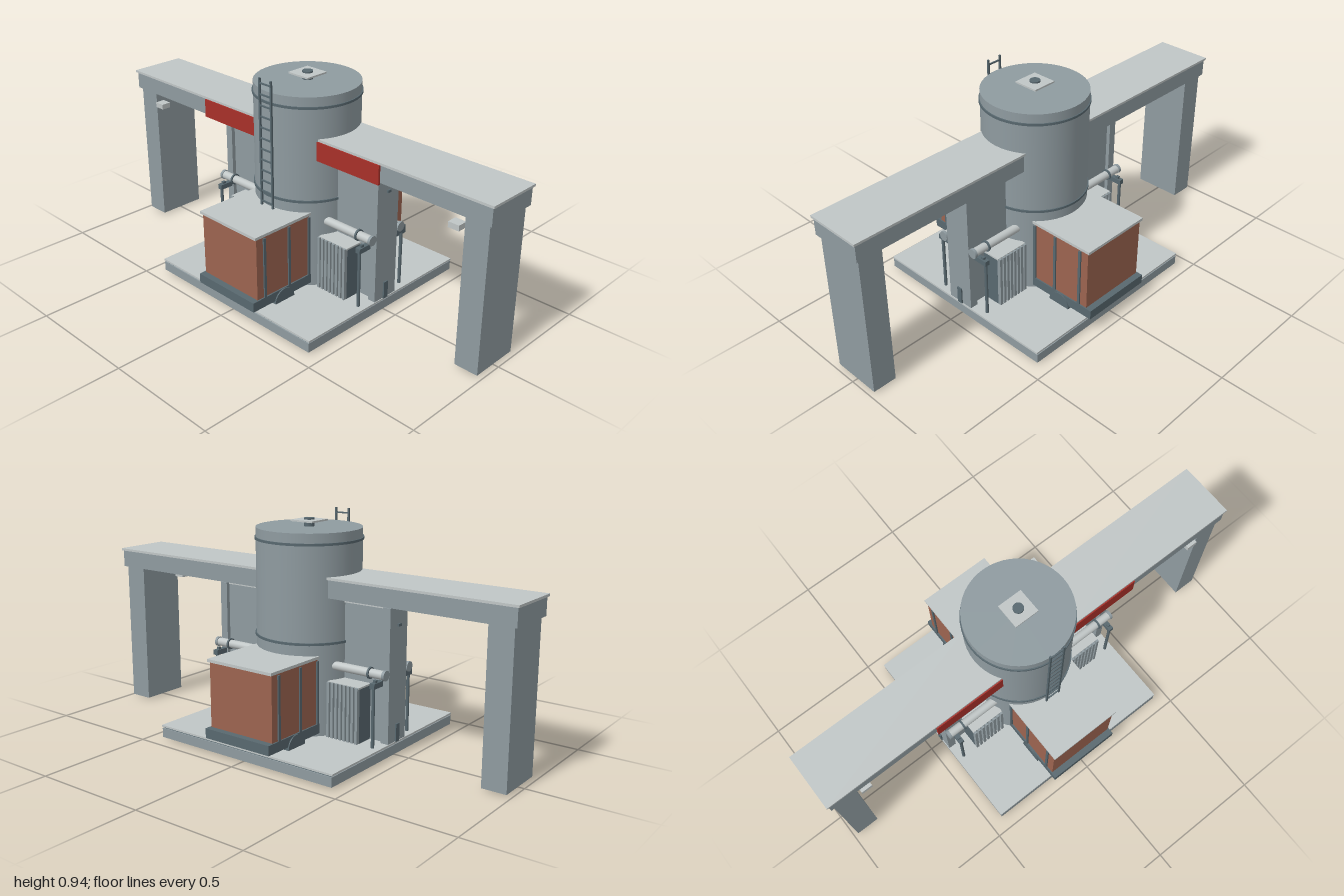
import * as THREE from 'three';

const mat = (name, color) => {
  const m = new THREE.MeshStandardMaterial({ color });
  m.name = name;
  return m;
};

export function createModel() {
  const grey = mat('steel grey', 0x8f9ba0);
  const light = mat('light grey', 0xc0c6c6);
  const dark = mat('dark steel', 0x58686f);
  const rust = mat('rust brown', 0x9c6450);
  const red = mat('sign red', 0xa83029);
  const root = new THREE.Group();
  root.name = 'industrialTankStation';

  const add = (parent, name, geo, material) => {
    const mesh = new THREE.Mesh(geo, material);
    mesh.name = name;
    parent.add(mesh);
    return mesh;
  };
  // Box given by its minimum and maximum on each axis
  const box = (parent, name, material, x0, x1, y0, y1, z0, z1) => {
    const m = add(parent, name, new THREE.BoxGeometry(x1 - x0, y1 - y0, z1 - z0), material);
    m.position.set((x0 + x1) / 2, (y0 + y1) / 2, (z0 + z1) / 2);
    return m;
  };
  // Cylinder along y, or along x when lying
  const cyl = (parent, name, material, r, len, x, y, z, lying = false, seg = 24) => {
    const m = add(parent, name, new THREE.CylinderGeometry(r, r, len, seg), material);
    m.position.set(x, y, z);
    if (lying) m.rotation.z = Math.PI / 2;
    return m;
  };
  const group = (name) => {
    const g = new THREE.Group();
    g.name = name;
    root.add(g);
    return g;
  };

  // Base slab with a light deck plate
  const base = group('base');
  box(base, 'slab', grey, -0.44, 0.44, 0.008, 0.048, -0.44, 0.44);
  box(base, 'deckSeam', dark, -0.435, 0.435, 0.047, 0.054, -0.435, 0.435);
  box(base, 'deckPlate', light, -0.443, 0.443, 0.053, 0.061, -0.44, 0.44);

  // Central tank with hoops and a top hatch
  const tank = group('tank');
  cyl(tank, 'tankBody', grey, 0.22, 0.84, 0, 0.47, 0, false, 48);
  for (const y of [0.447, 0.846]) cyl(tank, 'tankHoop', dark, 0.225, 0.01, 0, y, 0, false, 48);
  cyl(tank, 'hatchNeck', dark, 0.022, 0.035, 0, 0.907, 0);
  box(tank, 'hatchPlate', light, -0.054, 0.054, 0.911, 0.918, -0.054, 0.054);

  // Ladder on the front of the tank
  const ladder = group('ladder');
  for (const s of [-1, 1]) {
    box(ladder, 'ladderRail', dark, s * 0.032 - 0.004, s * 0.032 + 0.004, 0.002, 0.943, 0.228, 0.236);
  }
  for (let i = 0; i < 21; i++) {
    const y = 0.004 + i * 0.0459;
    box(ladder, 'ladderRung', dark, -0.032, 0.032, y - 0.003, y + 0.003, 0.229, 0.235);
  }

  for (const s of [-1, 1]) {
    // Side helper: x values are mirrored by s
    const sideBox = (g, name, m, x0, x1, ...rest) =>
      s > 0 ? box(g, name, m, x0, x1, ...rest) : box(g, name, m, -x1, -x0, ...rest);

    // Overhead beam, outer pillar, sign and lamp
    const gantry = group(s > 0 ? 'leftGantry' : 'rightGantry');
    sideBox(gantry, 'beam', grey, 0.17, 0.993, 0.632, 0.706, -0.119, 0.119);
    sideBox(gantry, 'beamCap', light, 0.17, 1, 0.706, 0.716, -0.125, 0.125);
    sideBox(gantry, 'pillar', grey, 0.877, 0.98, 0.008, 0.633, -0.108, 0.108);
    sideBox(gantry, 'signPanel', red, 0.178, 0.496, 0.625, 0.706, 0.121, 0.13);
    sideBox(gantry, 'lamp', light, 0.815, 0.863, 0.569, 0.592, 0.08, 0.123);

    // Support wall under the beam
    const wall = group(s > 0 ? 'leftWall' : 'rightWall');
    sideBox(wall, 'wallPanel', grey, 0.18, 0.41, 0.06, 0.608, -0.045, 0.045);
    sideBox(wall, 'wallCap', light, 0.18, 0.412, 0.608, 0.617, -0.048, 0.048);
    sideBox(wall, 'wallSeam', dark, 0.18, 0.408, 0.33, 0.336, -0.047, 0.047);
    sideBox(wall, 'endColumn', grey, 0.405, 0.44, 0.06, 0.615, -0.062, 0.062);
    sideBox(wall, 'columnBracket', dark, 0.439, 0.446, 0.06, 0.135, -0.012, 0.012);
    sideBox(wall, 'columnBolt', dark, 0.439, 0.447, 0.535, 0.546, -0.01, 0.01);

    for (const f of [-1, 1]) {
      const zBox = (g, name, m, x0, x1, y0, y1, z0, z1) =>
        sideBox(g, name, m, x0, x1, y0, y1, Math.min(f * z0, f * z1), Math.max(f * z0, f * z1));

      // Finned radiator
      const rad = group('radiator');
      zBox(rad, 'radiatorCore', dark, 0.192, 0.342, 0.06, 0.288, 0.04, 0.122);
      zBox(rad, 'radiatorTop', light, 0.19, 0.344, 0.288, 0.295, 0.04, 0.128);
      for (let i = 0; i < 8; i++) {
        const x = 0.192 + i * 0.0197;
        zBox(rad, 'radiatorFin', grey, x, x + 0.012, 0.062, 0.294, 0.05, 0.138);
      }

      // Horizontal pipe with flange and its post
      const pipe = group('pipework');
      cyl(pipe, 'pipe', light, 0.018, 0.25, s * 0.315, 0.352, f * 0.085, true);
      cyl(pipe, 'pipeFlange', dark, 0.024, 0.008, s * 0.367, 0.352, f * 0.085, true);
      cyl(pipe, 'pipeEnd', grey, 0.021, 0.012, s * 0.436, 0.352, f * 0.085, true);
      cyl(pipe, 'post', dark, 0.007, 0.26, s * 0.41, 0.19, f * 0.127, false, 12);
      zBox(pipe, 'postHead', dark, 0.399, 0.421, 0.305, 0.327, 0.075, 0.138);
      zBox(pipe, 'postTip', dark, 0.404, 0.416, 0.327, 0.337, 0.108, 0.122);
    }
  }

  // Crates on trays, front and back
  for (const f of [-1, 1]) {
    const crate = group(f > 0 ? 'frontCrate' : 'backCrate');
    const zBox = (name, m, x0, x1, y0, y1, z0, z1) =>
      box(crate, name, m, x0, x1, y0, y1, Math.min(f * z0, f * z1), Math.max(f * z0, f * z1));
    zBox('crateBody', rust, -0.158, 0.158, 0.113, 0.387, 0.15, 0.44);
    zBox('crateLid', light, -0.164, 0.164, 0.387, 0.399, 0.145, 0.45);
    zBox('tray', dark, -0.164, 0.164, 0.074, 0.115, 0.147, 0.468);
    cyl(crate, 'saddle', dark, 0.052, 0.338, 0, 0.062, f * 0.3, true, 32);
    for (const s of [-1, 1]) {
      for (const z of [0.155, 0.267, 0.4]) {
        zBox('crateStrap', dark, s * 0.16 - 0.004, s * 0.16 + 0.004, 0.114, 0.379, z - 0.006, z + 0.006);
      }
      zBox('trayHook', dark, s * 0.14 - 0.01, s * 0.14 + 0.01, 0.111, 0.121, 0.125, 0.155);
    }
  }
  return root;
}
